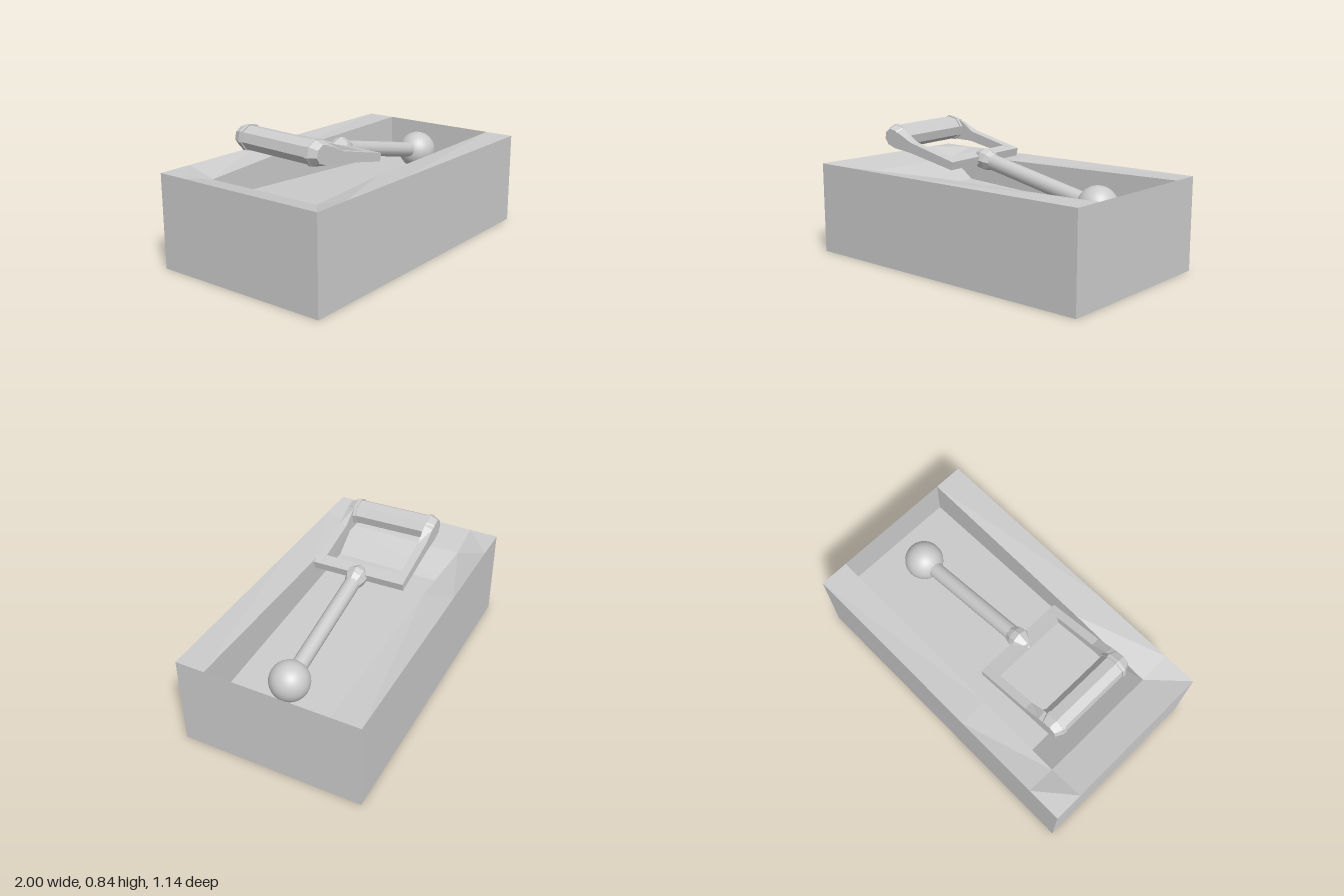
import * as THREE from 'three';

const flat = new THREE.MeshStandardMaterial({ color: 0xcccccc, flatShading: true, side: THREE.DoubleSide });
const smooth = new THREE.MeshStandardMaterial({ color: 0xcccccc });

function add(parent, name, geometry, material = flat, x = 0, y = 0, z = 0) {
  const mesh = new THREE.Mesh(geometry, material);
  mesh.name = name;
  mesh.position.set(x, y, z);
  parent.add(mesh);
  return mesh;
}

// Faces from quads of corner points, counter-clockwise seen from the front
function quads(list) {
  const positions = [];
  for (const [a, b, c, d] of list) positions.push(...a, ...b, ...c, ...a, ...c, ...d);
  const g = new THREE.BufferGeometry();
  g.setAttribute('position', new THREE.Float32BufferAttribute(positions, 3));
  g.computeVertexNormals();
  return g;
}

function createBase(root) {
  const H = 0.575, D = 0.57, W = 0.385;   // height, half depth, half well width
  const end = -0.78, fold = -0.6;
  const rim = [[end, 0.52], [-0.23, 0.555], [1, H]];
  const floor = [[fold, 0.39], [1, 0.305]];
  const block = [], top = [], well = [];

  // Outer faces
  block.push([[-1, 0, -D], [1, 0, -D], [1, 0, D], [-1, 0, D]]);
  block.push([[-1, 0, -D], [-1, 0, D], [-1, H, D], [-1, H, -D]]);
  block.push([[1, 0, D], [1, 0, -D], [1, H, -D], [1, H, D]]);

  for (const s of [1, -1]) {
    const put = (list, ...q) => list.push(s > 0 ? q : q.reverse());
    put(block, [-1, 0, s * D], [1, 0, s * D], [1, H, s * D], [-1, H, s * D]);
    // Rim, sagging towards the well's shallow end
    put(top, [-1, H, s * D], [end, H, s * D], [end, 0.52, s * W], [-1, H, s * W]);
    for (let i = 0; i < 2; i++) {
      const [x0, y0] = rim[i], [x1, y1] = rim[i + 1];
      put(top, [x0, H, s * D], [x1, H, s * D], [x1, y1, s * W], [x0, y0, s * W]);
    }
    // Well side walls
    const p = ([x, y]) => [x, y, s * W];
    put(well, p(rim[0]), p(rim[1]), p(floor[0]), p(floor[0]));
    put(well, p(rim[1]), p(rim[2]), p(floor[1]), p(floor[0]));
  }
  top.push([[-1, H, W], [end, 0.52, W], [end, 0.52, -W], [-1, H, -W]]);

  // Sloping end wall and floor
  const profile = [rim[0], ...floor];
  for (let i = 0; i < 2; i++) {
    const [x0, y0] = profile[i], [x1, y1] = profile[i + 1];
    well.push([[x0, y0, W], [x1, y1, W], [x1, y1, -W], [x0, y0, -W]]);
  }
  add(root, 'baseBlock', quads(block));
  add(root, 'baseRim', quads(top));
  add(root, 'baseWell', quads(well));
}

function createLever(root) {
  // Pivots at the ball, handle towards -x
  const lever = new THREE.Group();
  lever.name = 'lever';
  lever.position.set(0.73, 0.45, 0.01);
  lever.rotation.set(0.03, 0, -0.212);
  root.add(lever);

  add(lever, 'ballJoint', new THREE.SphereGeometry(0.12, 32, 24), smooth);
  add(lever, 'shaft', new THREE.CylinderGeometry(0.048, 0.048, 0.88, 12).rotateZ(Math.PI / 2), smooth, -0.45);

  // Faceted collar joining the shaft to the frame
  const collar = [[0.001, 0.95], [0.03, 0.93], [0.068, 0.87], [0.064, 0.83], [0.048, 0.79]]
    .reverse().map(([r, h]) => new THREE.Vector2(r, h));
  add(lever, 'collar', new THREE.LatheGeometry(collar, 8).rotateZ(Math.PI / 2));

  // Cross bar of the frame
  add(lever, 'crossBar', new THREE.BoxGeometry(0.08, 0.05, 0.6), flat, -0.9, 0, -0.005);

  // Side arms, swelling towards the grip
  const arm = new THREE.Shape();
  [[-0.86, -0.025], [-0.86, 0.025], [-1.22, 0.032], [-1.33, 0.075],
    [-1.42, 0.08], [-1.42, -0.05], [-1.36, -0.06], [-1.22, -0.032]]
    .forEach(([x, y], i) => (i ? arm.lineTo(x, y) : arm.moveTo(x, y)));

  const gripX = -1.39, gripY = 0.012;
  const barrel = (r0, r1, length) => new THREE.CylinderGeometry(r0, r1, length, 8)
    .rotateY(Math.PI / 8).rotateX(Math.PI / 2).scale(1.14, 1, 1);

  for (const s of [1, -1]) {
    const side = s > 0 ? 'left' : 'right';
    const armGeometry = new THREE.ExtrudeGeometry(arm, { depth: 0.052, bevelEnabled: false });
    // Taper the outer face at the grip end
    const p = armGeometry.attributes.position;
    for (let i = 0; i < p.count; i++) {
      const outer = s > 0 ? p.getZ(i) > 0.03 : p.getZ(i) < 0.03;
      if (outer && p.getX(i) < -1.3) p.setY(i, p.getY(i) * 0.75);
    }
    armGeometry.computeVertexNormals();
    add(lever, side + 'Arm', armGeometry, flat, 0, 0, s > 0 ? 0.243 : -0.305);
    add(lever, side + 'Flange', barrel(0.08, 0.08, 0.02), flat, gripX, gripY, s * 0.24 - 0.005);
    add(lever, side + 'EndCap', barrel(s > 0 ? 0.056 : 0.078, s > 0 ? 0.078 : 0.056, 0.05),
      flat, gripX, gripY, s * 0.274 - 0.005);
  }
  add(lever, 'grip', barrel(0.073, 0.073, 0.48), flat, gripX, gripY, -0.005);
}

export function createModel() {
  const root = new THREE.Group();
  root.name = 'leverSwitch';
  createBase(root);
  createLever(root);
  return root;
}
